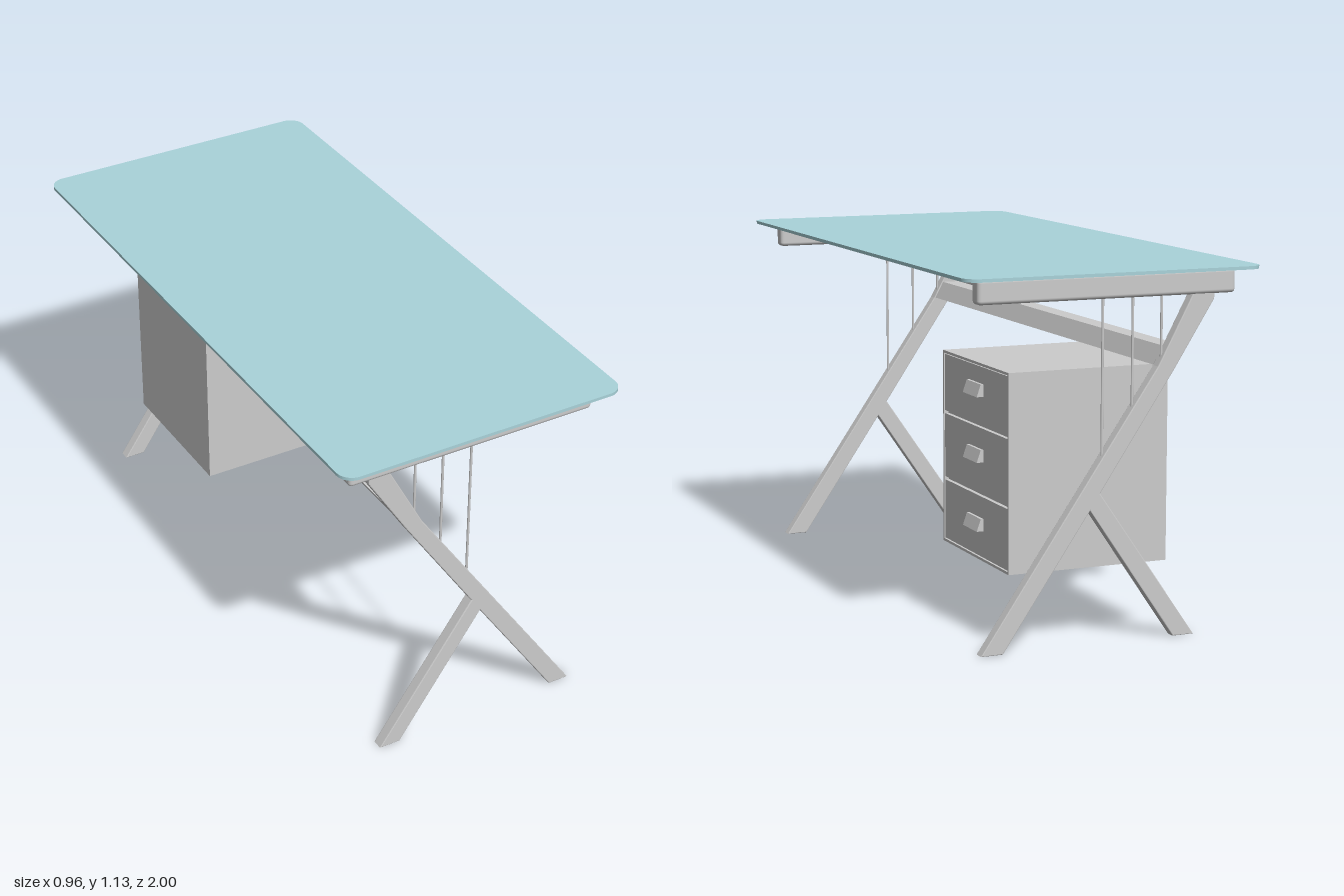
import * as THREE from 'three';
import { RoundedBoxGeometry } from 'three/addons/geometries/RoundedBoxGeometry.js';

const grey = new THREE.MeshStandardMaterial({ color: 0xcccccc });
const glass = new THREE.MeshStandardMaterial({ color: 0xa9d3da });

function add(parent, name, geometry, x = 0, y = 0, z = 0, material = grey) {
  const mesh = new THREE.Mesh(geometry, material);
  mesh.name = name;
  mesh.position.set(x, y, z);
  parent.add(mesh);
  return mesh;
}

// Box given by its limits on each axis
function addBox(parent, name, [x0, x1], [y0, y1], [z0, z1]) {
  const g = new THREE.BoxGeometry(x1 - x0, y1 - y0, z1 - z0);
  return add(parent, name, g, (x0 + x1) / 2, (y0 + y1) / 2, (z0 + z1) / 2);
}

// Outline in x/y extruded along z, centred on z = 0, with an optional small bevel
function prism(points, depth, bevel = 0) {
  const shape = new THREE.Shape(points.map(([x, y]) => new THREE.Vector2(x, y)));
  const g = new THREE.ExtrudeGeometry(shape, {
    depth: depth - 2 * bevel, bevelEnabled: bevel > 0, bevelSize: bevel,
    bevelThickness: bevel, bevelOffset: -bevel, bevelSegments: 2,
  });
  return g.translate(0, 0, -depth / 2 + bevel);
}

// Glass top with rounded corners
function topGeometry(hx, hz, r, thickness) {
  const s = new THREE.Shape();
  s.absarc(hx - r, hz - r, r, 0, Math.PI / 2);
  s.absarc(-hx + r, hz - r, r, Math.PI / 2, Math.PI);
  s.absarc(-hx + r, -hz + r, r, Math.PI, Math.PI * 1.5);
  s.absarc(hx - r, -hz + r, r, Math.PI * 1.5, Math.PI * 2);
  const g = new THREE.ExtrudeGeometry(s, { depth: thickness, bevelEnabled: false, curveSegments: 10 });
  return g.rotateX(-Math.PI / 2);
}

// One end frame: branching leg, rounded rail and three thin rods
function endFrame(name, z) {
  const frame = new THREE.Group();
  frame.name = name;
  frame.position.z = z;
  const outline = [
    [-0.30, 0], [-0.23, 0], [0.05, 0.41], [0.33, 0], [0.40, 0],
    [-0.17, 0.83], [-0.285, 1.045], [-0.355, 1.045], [-0.355, 1.025],
    [-0.225, 0.82], [0.017, 0.46],
  ];
  add(frame, 'leg', prism(outline, 0.037, 0.003));
  add(frame, 'topRail', new RoundedBoxGeometry(0.835, 0.075, 0.05, 3, 0.012), -0.005, 1.078, 0);
  for (const [x, bottom] of [[-0.188, 0.84], [-0.093, 0.70], [0.005, 0.56]]) {
    const length = 1.05 - bottom;
    add(frame, 'rod', new THREE.CylinderGeometry(0.004, 0.004, length, 12), x, bottom + length / 2, 0);
  }
  return frame;
}

// Drawer cabinet hung below the beam, opening towards +x
function cabinet() {
  const group = new THREE.Group();
  group.name = 'drawerCabinet';
  const z = [-0.86, -0.345], wall = 0.008;
  addBox(group, 'cabinetCore', [-0.225, 0.275], [0.23, 0.825], [z[0] + 0.004, z[1] - 0.004]);
  addBox(group, 'cabinetBack', [-0.23, -0.22], [0.225, 0.83], z);
  for (const y of [0.225, 0.83 - wall]) addBox(group, 'cabinetPanel', [-0.23, 0.29], [y, y + wall], z);
  for (const s of [z[0], z[1] - wall]) addBox(group, 'cabinetSide', [-0.23, 0.29], [0.225, 0.83], [s, s + wall]);

  // Drawer fronts separated by narrow grooves, each with a sloping pull
  const pull = [[0.285, 0], [0.31, 0], [0.297, 0.038], [0.285, 0.038]];
  for (const [y0, y1, h] of [[0.236, 0.422, 0.318], [0.432, 0.632, 0.53], [0.642, 0.819, 0.73]]) {
    addBox(group, 'drawerFront', [0.27, 0.288], [y0, y1], [z[0] + 0.011, z[1] - 0.011]);
    add(group, 'drawerPull', prism(pull, 0.11), 0, h, -0.61);
  }
  return group;
}

export function createModel() {
  const desk = new THREE.Group();
  desk.name = 'desk';
  add(desk, 'glassTop', topGeometry(0.478, 1, 0.05, 0.01), 0, 1.117, 0, glass);
  addBox(desk, 'underPanel', [-0.32, 0.37], [1.083, 1.116], [-0.875, 0.885]);

  // Rear beam joining the end frames, slanted like the legs
  const beam = [[-0.228, 0.83], [-0.174, 0.83], [-0.204, 0.886], [-0.264, 0.886]];
  add(desk, 'rearBeam', prism(beam, 1.78), 0, 0, 0.005);

  desk.add(endFrame('leftEndFrame', 0.907), endFrame('rightEndFrame', -0.897), cabinet());
  return desk;
}
